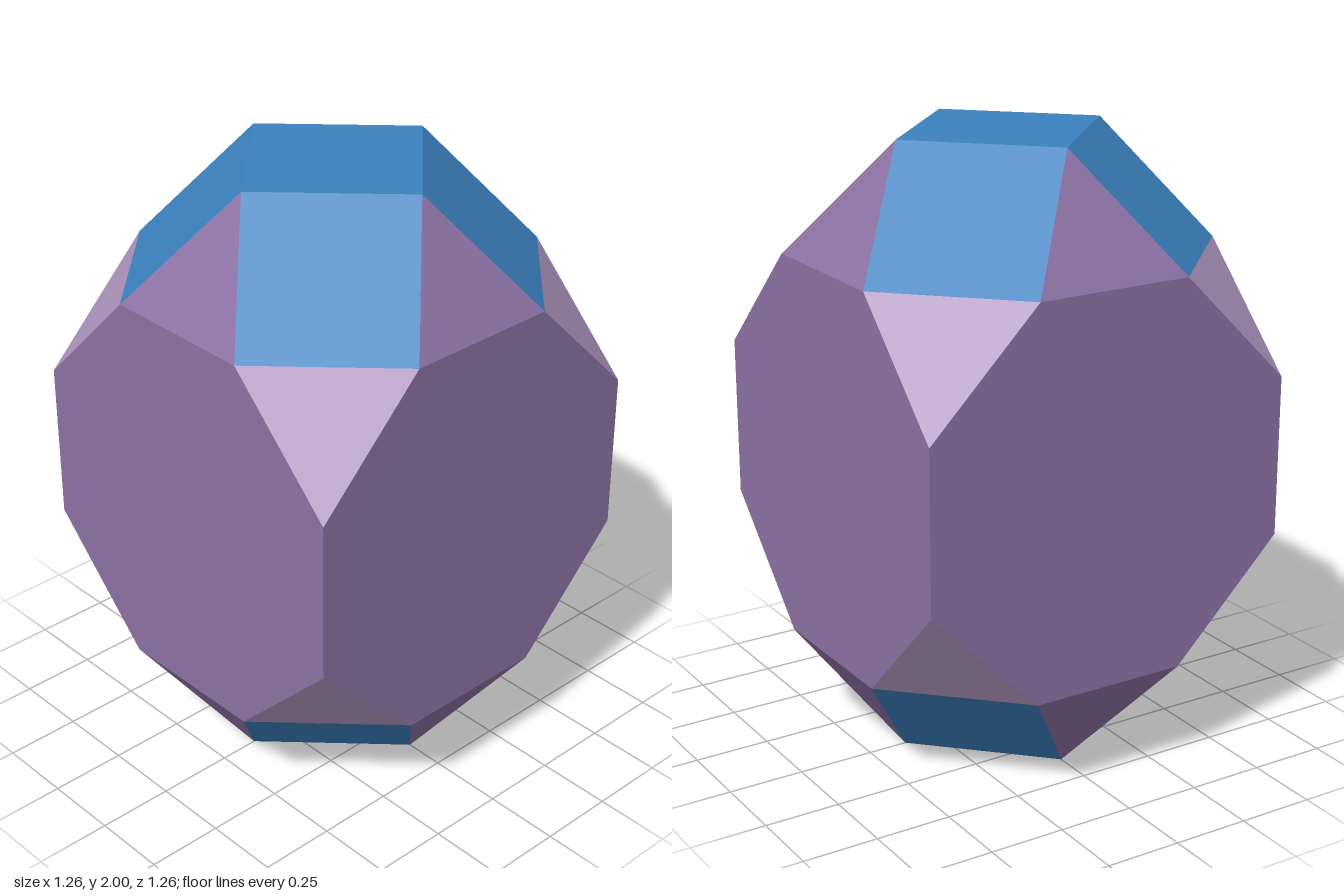
import * as THREE from 'three';

// A truncated cube with a square cupola on its top and bottom, all edges equal.
const EDGE = 2 / (1 + 2 * Math.SQRT2);
const R = EDGE / Math.SQRT2;   // cupola height and half diagonal of its square
const A = EDGE / 2;            // half edge
const W = A + R;               // half width of the truncated cube

// Fans convex polygons into one flat-faced geometry, every face turned outward.
function polygons(list) {
  const position = [];
  for (const p of list) {
    const normal = new THREE.Vector3().crossVectors(p[1].clone().sub(p[0]), p[2].clone().sub(p[0]));
    const ring = normal.dot(p[0]) < 0 ? [...p].reverse() : p;
    for (let i = 1; i < ring.length - 1; i++) {
      for (const v of [ring[0], ring[i], ring[i + 1]]) position.push(v.x, v.y, v.z);
    }
  }
  const geometry = new THREE.BufferGeometry();
  geometry.setAttribute('position', new THREE.Float32BufferAttribute(position, 3));
  geometry.computeVertexNormals();
  return geometry;
}

// Repeats a polygon in quarter turns about y, mirrored below for each given sign.
function repeat(points, signs, turns = 4) {
  const out = [];
  for (const s of signs) {
    for (let k = 0; k < turns; k++) {
      out.push(points.map(([x, y, z]) =>
        new THREE.Vector3(x, y * s, z).applyAxisAngle(new THREE.Vector3(0, 1, 0), k * Math.PI / 2)));
    }
  }
  return out;
}

export function createModel() {
  const group = new THREE.Group();
  group.name = 'biaugmentedTruncatedCube';

  const material = (name, color) => {
    const m = new THREE.MeshStandardMaterial({ color });
    m.name = name;
    return m;
  };
  const blue = material('blue', 0x3b82c0);
  const purple = material('purple', 0x8d72a5);
  const lilac = material('lilac', 0xaf95bf);

  const add = (name, faces, mat) => {
    const mesh = new THREE.Mesh(polygons(faces), mat);
    mesh.name = name;
    mesh.position.y = 1;
    group.add(mesh);
  };

  const both = [1, -1];
  const top = W + R;

  // Octagonal walls of the truncated cube
  add('octagonWalls', repeat([
    [-A, W, W], [A, W, W], [W, A, W], [W, -A, W],
    [A, -W, W], [-A, -W, W], [-W, -A, W], [-W, A, W],
  ], [1]), purple);

  // Cut corners of the truncated cube
  add('cornerTriangles', repeat([[A, W, W], [W, W, A], [W, A, W]], both), lilac);

  // Cupola triangles above and below each wall
  add('cupolaTriangles', repeat([[0, top, R], [-A, W, W], [A, W, W]], both), purple);

  // Sloping cupola squares
  add('cupolaSquares', repeat([[0, top, R], [A, W, W], [W, W, A], [R, top, 0]], both), blue);

  // Flat end squares
  add('endSquares', repeat([[R, top, 0], [0, top, R], [-R, top, 0], [0, top, -R]], both, 1), blue);

  return group;
}
